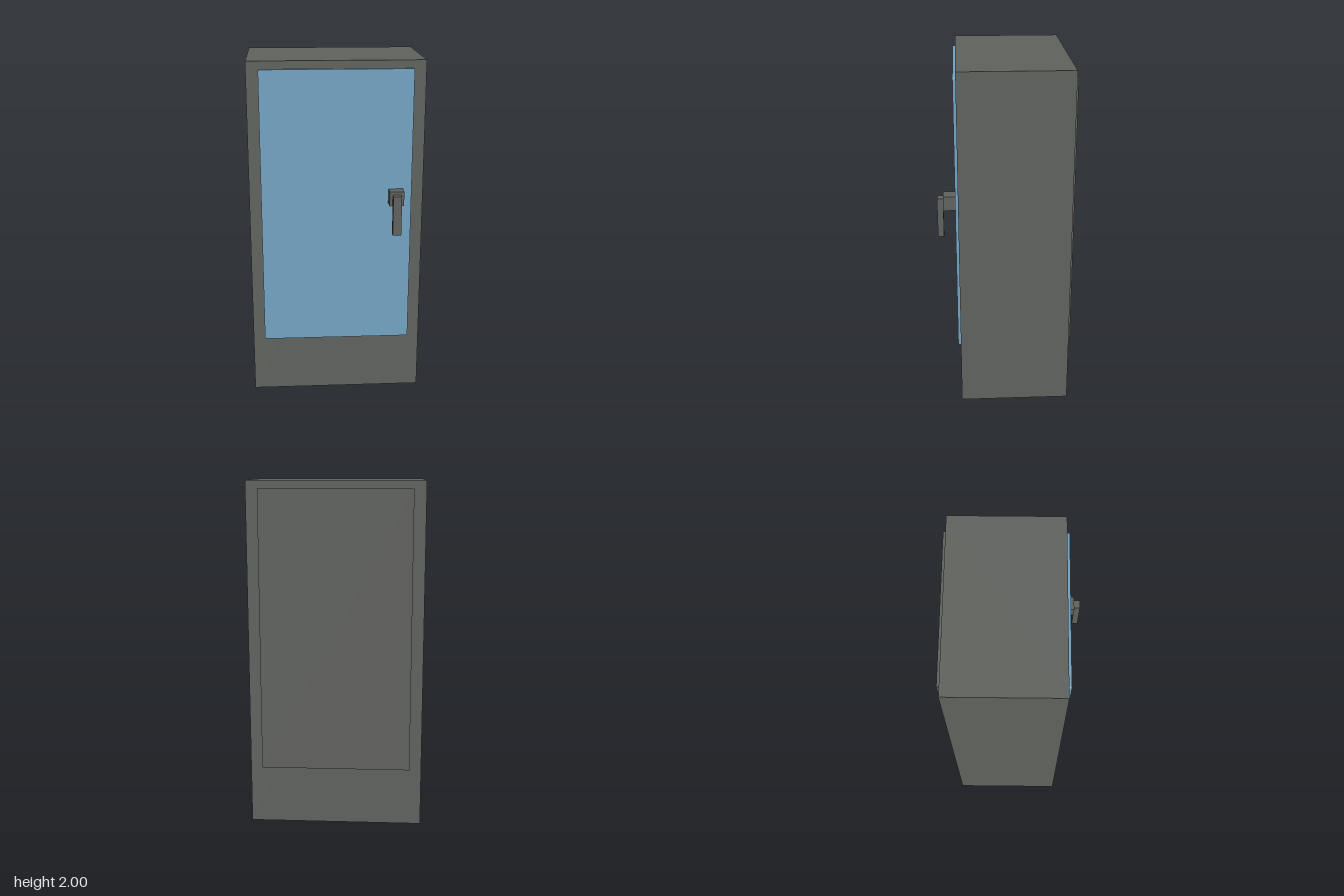
import * as THREE from 'three';

const paintedMetal = new THREE.MeshStandardMaterial({ name: 'dark grey metal', color: 0x60625e });
const doorPaint = new THREE.MeshStandardMaterial({ name: 'blue door paint', color: 0x72a3c3 });

// Box given by its minimum and maximum corners
function box(name, min, max, material) {
  const size = max.map((v, i) => v - min[i]);
  const mesh = new THREE.Mesh(new THREE.BoxGeometry(...size), material);
  mesh.position.set(...max.map((v, i) => (v + min[i]) / 2));
  mesh.name = name;
  return mesh;
}

// Upright panel with slightly rounded corners
function panel(name, width, bottom, top, z, depth, radius, material) {
  const x = width / 2, r = radius;
  const s = new THREE.Shape();
  s.moveTo(-x + r, bottom);
  s.lineTo(x - r, bottom);
  s.quadraticCurveTo(x, bottom, x, bottom + r);
  s.lineTo(x, top - r);
  s.quadraticCurveTo(x, top, x - r, top);
  s.lineTo(-x + r, top);
  s.quadraticCurveTo(-x, top, -x, top - r);
  s.lineTo(-x, bottom + r);
  s.quadraticCurveTo(-x, bottom, -x + r, bottom);
  const geometry = new THREE.ExtrudeGeometry(s, { depth, bevelEnabled: false, curveSegments: 4 });
  const mesh = new THREE.Mesh(geometry, material);
  mesh.position.z = z;
  mesh.name = name;
  return mesh;
}

export function createModel() {
  const cabinet = new THREE.Group();
  cabinet.name = 'cabinet';

  // Cabinet body, front door and rear cover
  cabinet.add(
    box('body', [-0.5, 0, -0.367], [0.5, 2, 0.266], paintedMetal),
    panel('door', 0.864, 0.338, 1.954, 0.266, 0.016, 0.01, doorPaint),
    box('rearCover', [-0.432, 0.338, -0.384], [0.432, 1.954, -0.367], paintedMetal),
  );

  // Door handle: mounting block and hanging lever
  const handle = new THREE.Group();
  handle.name = 'handle';
  handle.add(
    box('handleMount', [0.299, 1.184, 0.282], [0.382, 1.268, 0.349], paintedMetal),
    box('handleLever', [0.316, 1.018, 0.349], [0.365, 1.25, 0.384], paintedMetal),
  );
  cabinet.add(handle);

  return cabinet;
}
